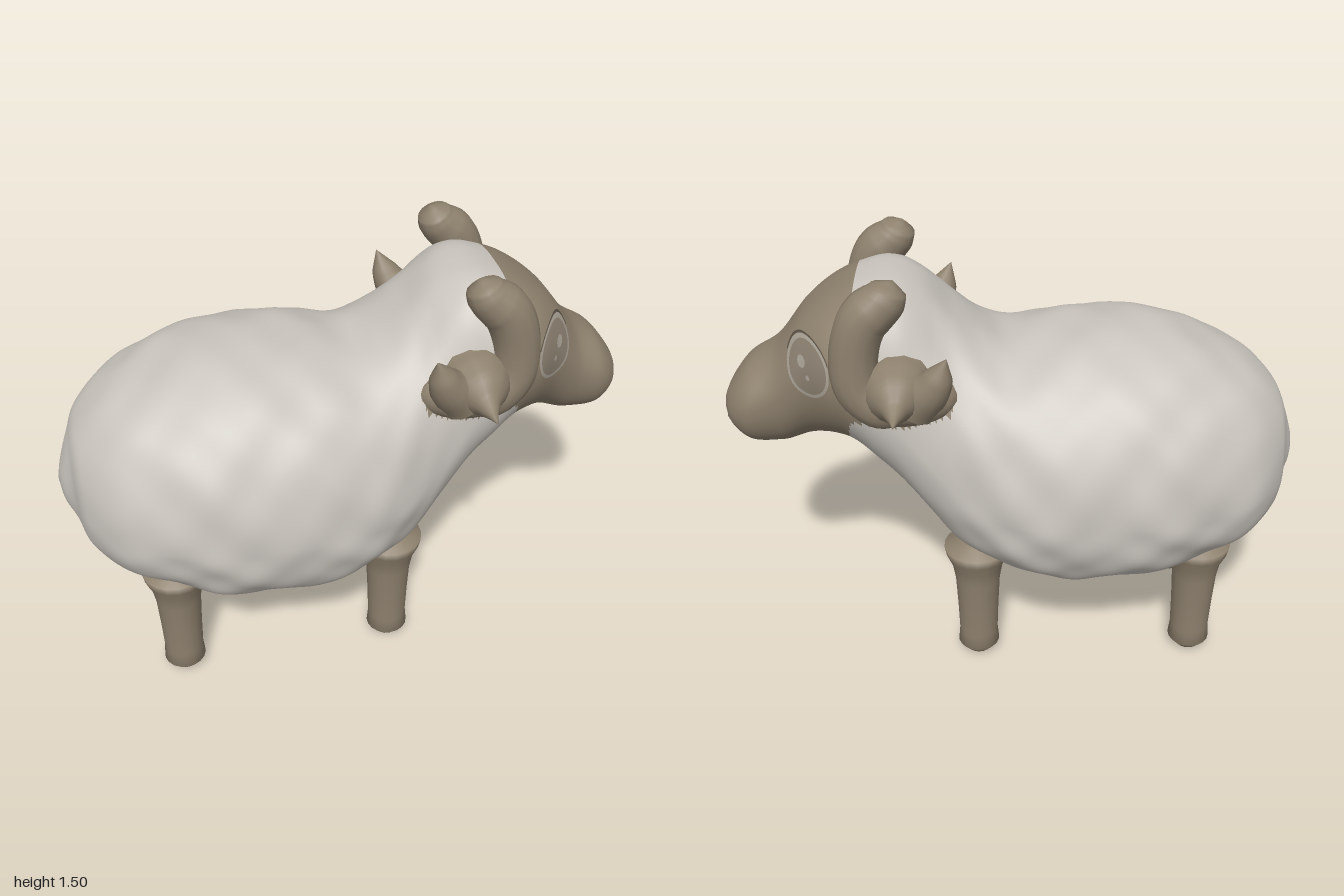
import * as THREE from 'three';
import { mergeVertices } from 'three/addons/utils/BufferGeometryUtils.js';

const { lerp, smoothstep, clamp } = THREE.MathUtils;
const mat = (name, color, side = THREE.FrontSide) => {
  const m = new THREE.MeshStandardMaterial({ color, side });
  m.name = name;
  return m;
};

// Skin stations along the animal: x, bottom y, top y, half width, height of widest point
const STATIONS = [
  [-1.0, 0.74, 0.76, 0.0, 0.75], [-0.985, 0.68, 0.82, 0.07, 0.75],
  [-0.95, 0.62, 0.92, 0.14, 0.75], [-0.91, 0.55, 1.0, 0.25, 0.74],
  [-0.8, 0.48, 1.1, 0.38, 0.73], [-0.65, 0.435, 1.175, 0.45, 0.72],
  [-0.5, 0.4, 1.22, 0.495, 0.72], [-0.35, 0.385, 1.235, 0.505, 0.72],
  [-0.15, 0.385, 1.22, 0.505, 0.72], [0.0, 0.405, 1.2, 0.475, 0.72],
  [0.1, 0.43, 1.235, 0.435, 0.74], [0.2, 0.48, 1.31, 0.385, 0.79],
  [0.3, 0.58, 1.4, 0.345, 0.9], [0.4, 0.7, 1.435, 0.325, 1.02],
  [0.5, 0.8, 1.42, 0.325, 1.11], [0.6, 0.84, 1.375, 0.3, 1.15],
  [0.7, 0.835, 1.3, 0.232, 1.12], [0.8, 0.815, 1.18, 0.185, 1.03],
  [0.9, 0.82, 1.115, 0.172, 0.98], [0.96, 0.865, 1.045, 0.125, 0.955],
  [0.99, 0.91, 0.99, 0.06, 0.95], [1.0, 0.945, 0.955, 0.0, 0.95],
];
const spline = new THREE.CubicInterpolant(STATIONS.map((_, i) => i), STATIONS.flat(), 5);
const section = (u) => Array.from(spline.evaluate(u));
const LAST = STATIONS.length - 1;

// Squareness of a section: full belly, flat crown, narrow jaw
const plateau = (x, a, b, c, d) => smoothstep(x, a, b) * (1 - smoothstep(x, c, d));
const power = (x, upper) => (upper
  ? 0.84 - 0.24 * plateau(x, 0.25, 0.38, 0.42, 0.52) - 0.13 * plateau(x, 0.42, 0.52, 0.66, 0.82)
  : lerp(0.6, 0.84, smoothstep(x, 0.15, 0.45)) - 0.15 * plateau(x, -0.65, -0.45, -0.05, 0.1)
    + 0.35 * plateau(x, 0.45, 0.58, 0.68, 0.8));

// Half width of the skin at a given x and y
function skinZ(x, y) {
  let lo = 0, hi = LAST;
  for (let k = 0; k < 30; k++) {
    const mid = (lo + hi) / 2;
    if (section(mid)[0] < x) lo = mid; else hi = mid;
  }
  const [, yb, yt, w, yw] = section(lo);
  const s = Math.min(1, Math.abs(y - yw) / (y > yw ? yt - yw : yw - yb));
  return w * Math.pow(1 - s * s, power(x, y > yw) / 2);
}

// Closed skin, split into wool and hide by position
function skinGeometry() {
  const RINGS = 320, SEG = 100, pos = [], wool = [], hide = [];
  for (let i = 0; i <= RINGS; i++) {
    const [x, yb, yt, w, yw] = section((i / RINGS) * LAST);
    const fade = plateau(x, -1, -0.8, 0.15, 0.45);
    for (let j = 0; j < SEG; j++) {
      const a = (j / SEG) * Math.PI * 2, s = Math.sin(a), c = Math.cos(a);
      const lumps = Math.sin(17 * x + 2 * Math.sin(2 * a)) * Math.sin(7 * a + 1) + 0.6 * Math.sin(29 * x + 1) * Math.sin(11 * a);
      const bump = 1 + fade * 0.011 * lumps;
      const z = Math.sign(c) * Math.pow(Math.abs(c), power(x, s > 0)) * w * bump;
      pos.push(x, yw + s * (s > 0 ? yt - yw : yw - yb) * bump, z);
    }
  }
  for (let i = 0; i < RINGS; i++) for (let j = 0; j < SEG; j++) {
    const a = i * SEG + j, c = i * SEG + (j + 1) % SEG, b = a + SEG, d = c + SEG;
    const [x, y, z] = [0, 1, 2].map((k) => (pos[a * 3 + k] + pos[d * 3 + k]) / 2);
    const face = x > 0.52 + 0.05 * clamp((1.1 - y) / 0.25, 0, 1);
    const cheek = Math.abs(z) > 0.2 && x > 0.2 && y > 1.02 + 0.3 * Math.max(0, 0.36 - x)
      && y < 1.12 + 0.9 * Math.max(0, x - 0.42);
    (face || cheek ? hide : wool).push(a, b, c, b, d, c);
  }
  const g = new THREE.BufferGeometry();
  g.setAttribute('position', new THREE.Float32BufferAttribute(pos, 3));
  g.setIndex([...wool, ...hide]);
  g.addGroup(0, wool.length, 0);
  g.addGroup(wool.length, hide.length, 1);
  g.computeVertexNormals();
  return g;
}

// Tube whose radius follows evenly spaced values
function taperTube(points, radii, rows = 20, sides = 14) {
  const curve = new THREE.CatmullRomCurve3(points.map((p) => new THREE.Vector3(...p)));
  let g = new THREE.TubeGeometry(curve, rows, 1, sides);
  const p = g.attributes.position, v = new THREE.Vector3();
  for (let i = 0; i < p.count; i++) {
    const t = Math.floor(i / (sides + 1)) / rows, f = t * (radii.length - 1);
    const k = Math.min(radii.length - 2, Math.floor(f));
    const r = lerp(radii[k], radii[k + 1], f - k);
    const c = curve.getPointAt(t);
    v.fromBufferAttribute(p, i).sub(c).multiplyScalar(r).add(c);
    p.setXYZ(i, v.x, v.y, v.z);
  }
  g.deleteAttribute('uv');
  g.deleteAttribute('normal');
  g = mergeVertices(g, 1e-5);
  g.computeVertexNormals();
  return g;
}

// Flat patch laid over the side of the head
function patch(flat, x, y, sx, sy, side, lift) {
  const p = flat.attributes.position;
  for (let i = 0; i < p.count; i++) {
    const px = x + p.getX(i) * sx, py = y + p.getY(i) * sy;
    p.setXYZ(i, px, py, side * (skinZ(px, py) + lift));
  }
  if (side < 0) { // keep the winding outward on the mirrored side
    const idx = flat.index.array;
    for (let i = 0; i < idx.length; i += 3) [idx[i], idx[i + 1]] = [idx[i + 1], idx[i]];
  }
  flat.computeVertexNormals();
  return flat;
}

export function createModel() {
  const group = new THREE.Group();
  const wool = mat('wool', 0xcac5be);
  const hide = mat('hide', 0x8d806d);
  const rim = mat('eye rim', 0xa59e92, THREE.DoubleSide);
  const iris = mat('iris', 0x897e6f, THREE.DoubleSide);
  const lash = mat('lash', 0x5a5145, THREE.DoubleSide);
  const add = (name, geometry, material) => {
    const m = new THREE.Mesh(geometry, material);
    m.name = name;
    group.add(m);
    return m;
  };

  add('bodyAndHead', skinGeometry(), [wool, hide]);

  // Legs with flared tops and rounded hooves
  const legProfile = [[0, 0.003], [0.045, 0.01], [0.075, 0.045], [0.07, 0.1], [0.074, 0.22],
    [0.08, 0.34], [0.09, 0.4], [0.11, 0.445], [0.117, 0.48], [0, 0.53]].map((p) => new THREE.Vector2(...p));
  const legGeometry = new THREE.LatheGeometry(legProfile, 18);
  const hornRadii = [0, 0.058, 0.07, 0.075, ...Array(13).fill(0.08), 0.075, 0.06, 0];
  for (const s of [1, -1]) {
    for (const [name, x] of [['frontLeg', s > 0 ? 0.12 : 0.135], ['hindLeg', -0.65]])
      add(name, legGeometry, hide).position.set(x, 0, s * 0.238);

    // Curled horn
    add('horn', taperTube([[0.375, 1.5, s * 0.265], [0.405, 1.44, s * 0.272], [0.475, 1.37, s * 0.278],
      [0.51, 1.25, s * 0.28], [0.5, 1.14, s * 0.285], [0.43, 1.08, s * 0.29], [0.34, 1.1, s * 0.29]],
    hornRadii, 57), hide);

    // Ear: fleshy base, outer point and rear point
    const base = add('earBase', new THREE.SphereGeometry(1, 20, 14), hide);
    base.scale.set(0.18, 0.095, 0.1);
    base.position.set(0.36, 1.105, s * 0.285);
    add('earTip', taperTube([[0.38, 1.13, s * 0.28], [0.38, 1.135, s * 0.36], [0.38, 1.125, s * 0.43],
      [0.38, 1.12, s * 0.515]], [0.13, 0.115, 0.085, 0.042, 0.018, 0]), hide);
    add('earRearPoint', taperTube([[0.32, 1.11, s * 0.31], [0.26, 1.18, s * 0.355],
      [0.215, 1.29, s * 0.385]], [0.09, 0.07, 0.045, 0]), hide);

    // Eye: rim, iris, highlights and upper lash
    add('eyeRim', patch(new THREE.RingGeometry(0.88, 1, 36, 2), 0.665, 1.19, 0.075, 0.095, s, 0.005), rim);
    add('iris', patch(new THREE.RingGeometry(0, 0.88, 36, 6), 0.665, 1.19, 0.075, 0.095, s, 0.005), iris);
    add('eyeHighlight', patch(new THREE.RingGeometry(0, 1, 14, 1), 0.685, 1.21, 0.014, 0.019, s, 0.008), rim);
    add('smallEyeHighlight', patch(new THREE.RingGeometry(0, 1, 12, 1), 0.665, 1.165, 0.007, 0.009, s, 0.008), rim);
    add('lash', patch(new THREE.RingGeometry(0.98, 1.03, 24, 1, 0.3, 2.5), 0.665, 1.19, 0.077, 0.096, s, 0.007), lash);

    // Nostril
    const nostril = add('nostril', new THREE.SphereGeometry(1, 12, 8), hide);
    nostril.scale.set(0.012, 0.022, 0.014);
    nostril.position.set(0.978, 0.92, s * 0.055);
  }
  return group;
}
